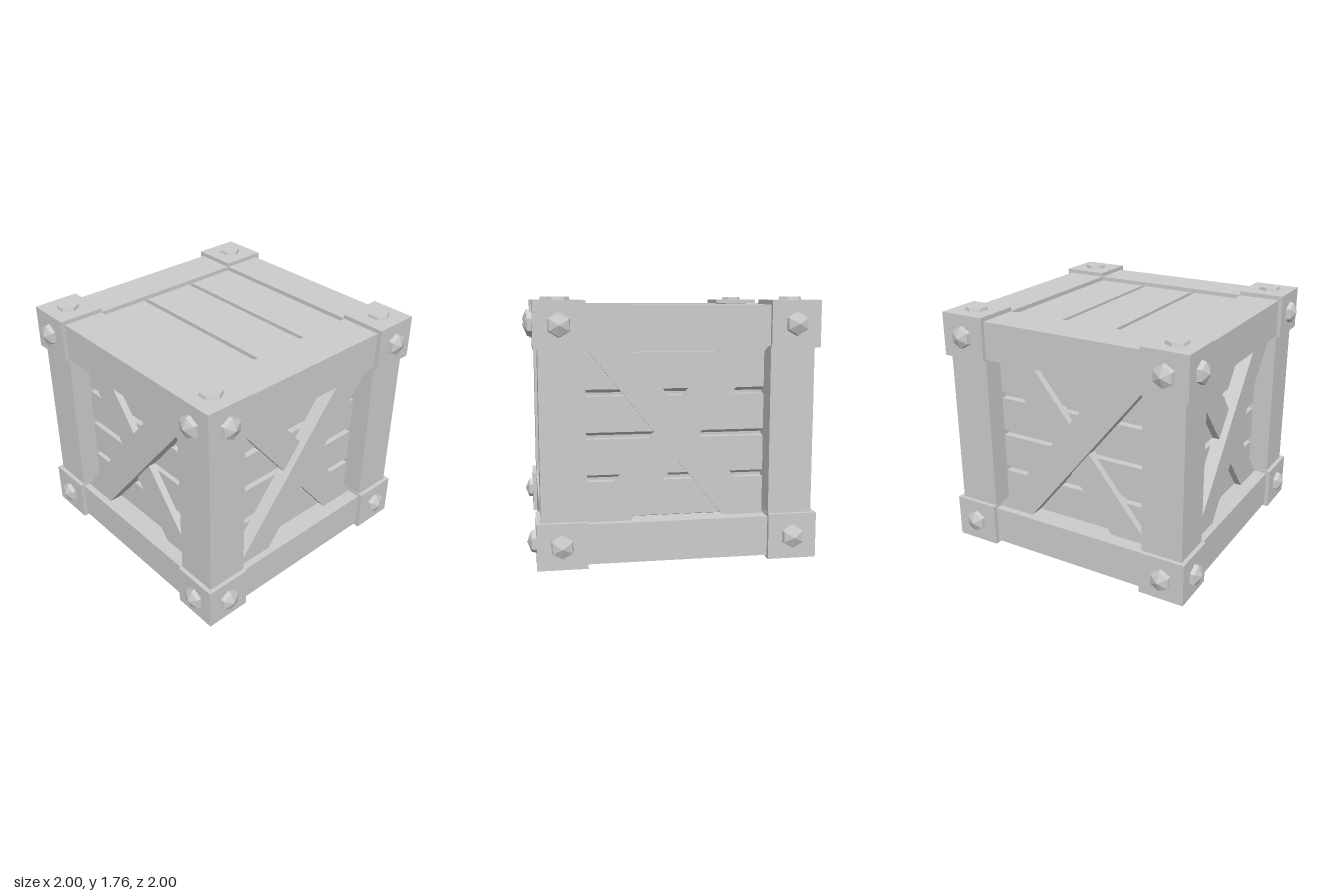
import * as THREE from 'three';

const grey = new THREE.MeshStandardMaterial({ color: 0xcccccc });
grey.name = 'plain grey';

function add(parent, name, geometry, x = 0, y = 0, z = 0) {
  const mesh = new THREE.Mesh(geometry, grey);
  mesh.name = name;
  mesh.position.set(x, y, z);
  parent.add(mesh);
  return mesh;
}

// Box given by its limits on each axis
function addBox(parent, name, [x0, x1], [y0, y1], [z0, z1]) {
  return add(parent, name, new THREE.BoxGeometry(x1 - x0, y1 - y0, z1 - z0),
    (x0 + x1) / 2, (y0 + y1) / 2, (z0 + z1) / 2);
}

// Outline pushed out along z
function extrude(points, depth) {
  const shape = new THREE.Shape(points.map(([x, y]) => new THREE.Vector2(x, y)));
  return new THREE.ExtrudeGeometry(shape, { depth, bevelEnabled: false });
}

// Six-sided bolt head pointing up y: tapered sides, then a point or a flat top
function boltHead(height, tip) {
  const profile = [[0.08, 0], [0.074, height], [0, height + tip]];
  const geometry = new THREE.LatheGeometry(
    profile.map(([r, y]) => new THREE.Vector2(r, y)), 6).toNonIndexed();
  geometry.computeVertexNormals();
  return geometry;
}

// One side of the crate, facing +z
function buildSide() {
  const side = new THREE.Group();
  side.name = 'side';

  // Wall planks with a bevelled lower edge
  const pitch = 0.287;
  for (let i = 0; i < 4; i++) {
    const bottom = 0.27 + pitch * i;
    const top = bottom + pitch - 0.02;
    // outline in (depth, height), extruded along x after turning
    const section = [[0.69, bottom], [0.71, bottom], [0.76, bottom + 0.025], [0.76, top], [0.69, top]];
    const plank = add(side, 'wallPlank', extrude(section.map(([d, y]) => [-d, y]).reverse(), 1.36), -0.68);
    plank.rotation.y = Math.PI / 2;
  }

  // Crossed braces, the rising one in front
  const brace = [[-0.61, 0.29], [-0.32, 0.29], [0.61, 1.44], [0.32, 1.44]];
  add(side, 'frontBrace', extrude(brace, 0.12), 0, 0, 0.74);
  add(side, 'rearBrace', extrude(brace.map(([x, y]) => [-x, y]).reverse(), 0.07), 0, 0, 0.74);

  // Top and bottom beams
  for (const [y0, y1] of [[0.02, 0.29], [1.44, 1.71]])
    addBox(side, 'beam', [-0.612, 0.612], [y0, y1], [0.61, 0.91]);

  // Corner post
  addBox(side, 'post', [0.61, 0.91], [0.3, 1.44], [0.61, 0.91]);

  // Corner blocks and their bolts
  for (const y of [0.155, 1.585]) {
    addBox(side, 'cornerBlock', [0.607, 0.94], [y - 0.155, y + 0.155], [0.607, 0.94]);
    for (const x of [-0.775, 0.775]) {
      const bolt = add(side, 'bolt', boltHead(0.03, 0.03), x, y, 0.94);
      bolt.rotation.x = Math.PI / 2;
    }
  }
  const topBolt = add(side, 'topBolt', boltHead(0.022, 0), 0.775, 1.74, 0.775);
  topBolt.name = 'topBolt';
  return side;
}

export function createModel() {
  const crate = new THREE.Group();
  crate.name = 'crate';

  // Four matching sides
  for (let i = 0; i < 4; i++) {
    const side = buildSide();
    side.rotation.y = i * Math.PI / 2;
    // keep the points of every top bolt along x
    if (i % 2 === 0) side.getObjectByName('topBolt').rotation.y = Math.PI / 2;
    crate.add(side);
  }

  // Inner box behind the gaps
  addBox(crate, 'core', [-0.71, 0.71], [0.2, 1.64], [-0.71, 0.71]);

  // Lid and floor planks
  for (const [z0, z1] of [[-0.65, -0.235], [-0.2, 0.195], [0.23, 0.65]]) {
    addBox(crate, 'lidPlank', [-0.65, 0.65], [1.6, 1.68], [z0, z1]);
    addBox(crate, 'floorPlank', [-0.65, 0.65], [0.15, 0.24], [z0, z1]);
  }
  return crate;
}
